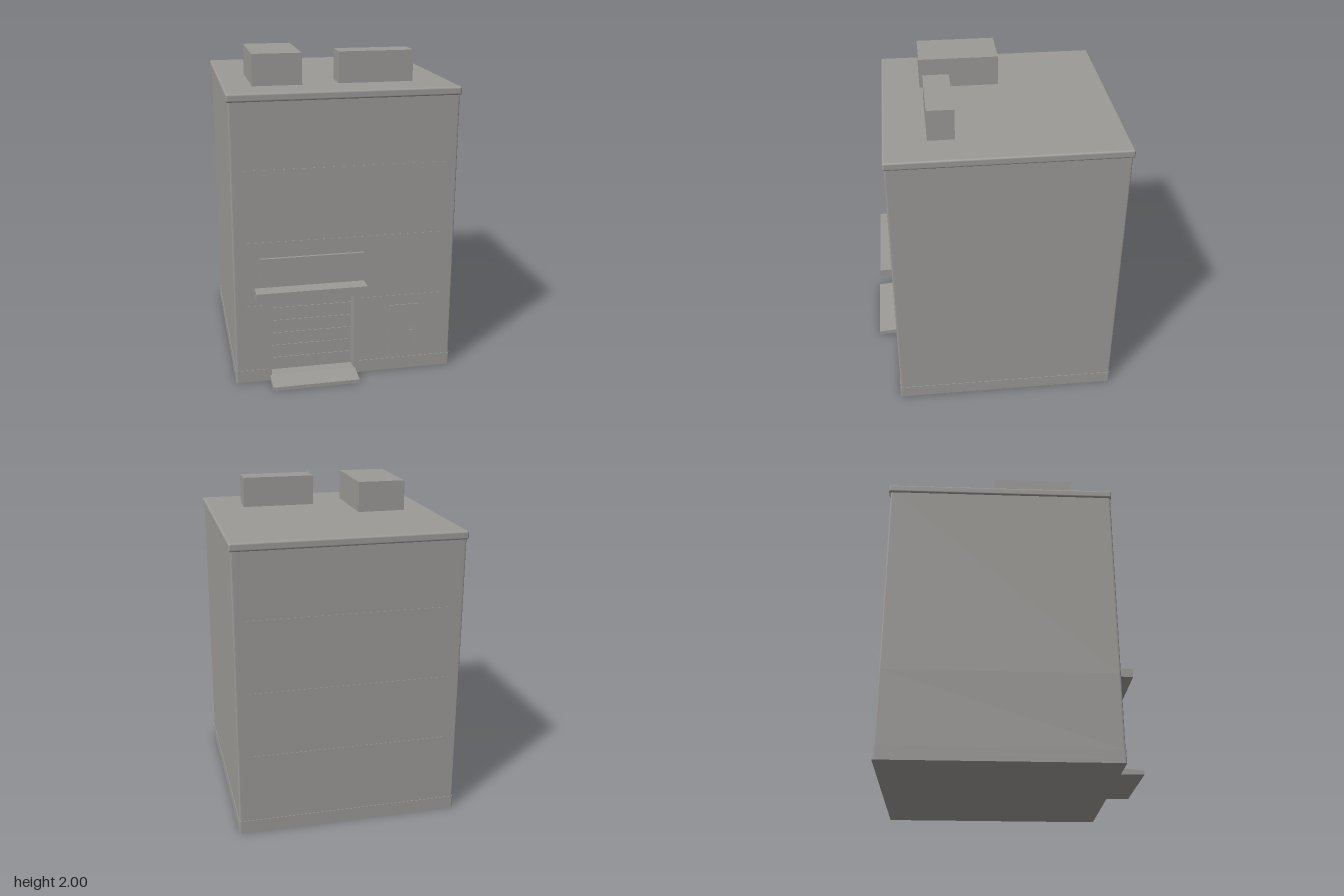
import * as THREE from 'three';
import { RoundedBoxGeometry } from 'three/addons/geometries/RoundedBoxGeometry.js';

const concrete = new THREE.MeshStandardMaterial({ color: 0x9c9a97 });
concrete.name = 'concreteGrey';

const BACK = -0.765, FRONT = 0.635, HALF = 0.685;
const DOOR = { x0: -0.465, x1: 0.055, y0: 0.03, y1: 0.54, z: 0.55 };

// Floor plan with softened corners, optionally notched for the loading bay.
// Plan y is -z so that the extrusion rises upwards.
function plan(notched, grow = 0) {
  const r = 0.012, w = HALF + grow, f = -FRONT - grow, b = -BACK + grow;
  const s = new THREE.Shape();
  s.moveTo(-w + r, f);
  if (notched) {
    s.lineTo(DOOR.x0, f);
    s.lineTo(DOOR.x0, -DOOR.z);
    s.lineTo(DOOR.x1, -DOOR.z);
    s.lineTo(DOOR.x1, f);
  }
  s.lineTo(w - r, f);
  s.quadraticCurveTo(w, f, w, f + r);
  s.lineTo(w, b - r);
  s.quadraticCurveTo(w, b, w - r, b);
  s.lineTo(-w + r, b);
  s.quadraticCurveTo(-w, b, -w, b - r);
  s.lineTo(-w, f + r);
  s.quadraticCurveTo(-w, f, -w + r, f);
  return s;
}

export function createModel() {
  const model = new THREE.Group();
  model.name = 'warehouse';

  const add = (name, geometry) => {
    const mesh = new THREE.Mesh(geometry, concrete);
    mesh.name = name;
    model.add(mesh);
    return mesh;
  };
  // Box given by its limits on each axis
  const box = (name, x0, x1, y0, y1, z0, z1, radius = 0) => {
    const size = [x1 - x0, y1 - y0, z1 - z0];
    const g = radius ? new RoundedBoxGeometry(...size, 3, radius) : new THREE.BoxGeometry(...size);
    g.translate((x0 + x1) / 2, (y0 + y1) / 2, (z0 + z1) / 2);
    return add(name, g);
  };
  const storey = (name, y0, y1, notched, grow) => {
    const g = new THREE.ExtrudeGeometry(plan(notched, grow), { depth: y1 - y0, bevelEnabled: false, curveSegments: 4 });
    g.rotateX(-Math.PI / 2).translate(0, y0, 0);
    return add(name, g);
  };

  // Walls and plinth
  storey('foundation', 0, DOOR.y0, false, 0.003);
  storey('plinth', DOOR.y0, 0.08, true, 0.003);
  storey('groundFloorWalls', 0.08, DOOR.y1, true, 0);
  storey('upperWalls', DOOR.y1, 1.77, false, 0);

  // Roof slab and rooftop units
  box('roofSlab', -0.695, 0.695, 1.76, 1.81, -0.775, 0.642, 0.012);
  box('roofUnitLong', -0.52, -0.22, 1.8, 2, -0.1, 0.4);
  box('roofUnitWide', 0.005, 0.465, 1.8, 2, 0.225, 0.385);

  // Shallow floor bands on the front and back walls
  for (const y of [0.475, 0.88, 1.325]) {
    box('backBand', -0.61, 0.61, y, y + 0.035, BACK - 0.002, BACK + 0.01);
    const spans = y < 0.5 ? [[-0.61, -0.5], [0.085, 0.61]] : [[-0.61, 0.61]];
    for (const [x0, x1] of spans) box('frontBand', x0, x1, y, y + 0.035, FRONT - 0.01, FRONT + 0.002);
  }

  // Loading bay: frame, roller door with slats, and a small handle
  const { x0, x1, y0, y1, z } = DOOR;
  box('bayFrameLeft', x1, x1 + 0.022, 0.08, 0.57, FRONT - 0.02, FRONT + 0.003);
  box('bayFrameRight', x0 - 0.022, x0, 0.08, 0.57, FRONT - 0.02, FRONT + 0.003);
  box('bayLintel', x0, x1, y1, 0.57, FRONT - 0.02, FRONT + 0.003);
  const slats = 6, step = (y1 - y0) / slats;
  for (let i = 0; i < slats; i++) {
    box('rollerDoorSlat', x0, x1, y0 + i * step, y0 + (i + 1) * step - 0.004, z - 0.01, z + 0.004);
  }
  box('rollerDoorHandle', -0.21, -0.195, 0.23, 0.24, z, z + 0.01);

  // Gently sloping ramp, drawn in side profile
  const side = new THREE.Shape();
  side.moveTo(0.6, 0);
  side.lineTo(0.775, 0);
  side.lineTo(0.775, 0.024);
  side.lineTo(0.635, 0.036);
  side.lineTo(0.6, 0.036);
  const ramp = new THREE.ExtrudeGeometry(side, { depth: 0.54, bevelEnabled: false });
  ramp.rotateY(-Math.PI / 2).translate(0.065, 0, 0);
  add('ramp', ramp);

  // Canopy and blank sign board over the bay
  box('canopy', -0.56, 0.118, 0.573, 0.625, FRONT - 0.01, 0.73);
  box('signBoard', -0.525, 0.115, 0.68, 0.815, FRONT - 0.01, 0.652);

  // Side door: thin frame, leaf and handle
  box('doorFrameTop', 0.282, 0.462, 0.434, 0.444, FRONT - 0.01, FRONT + 0.005);
  for (const x of [0.282, 0.452]) box('doorFrameSide', x, x + 0.01, 0.082, 0.434, FRONT - 0.01, FRONT + 0.005);
  box('doorLeaf', 0.292, 0.452, 0.082, 0.434, FRONT - 0.01, FRONT + 0.002);
  box('doorHandle', 0.415, 0.44, 0.258, 0.268, FRONT, FRONT + 0.008);
  box('doorLockPlate', 0.425, 0.44, 0.235, 0.278, FRONT, FRONT + 0.005);

  return model;
}
